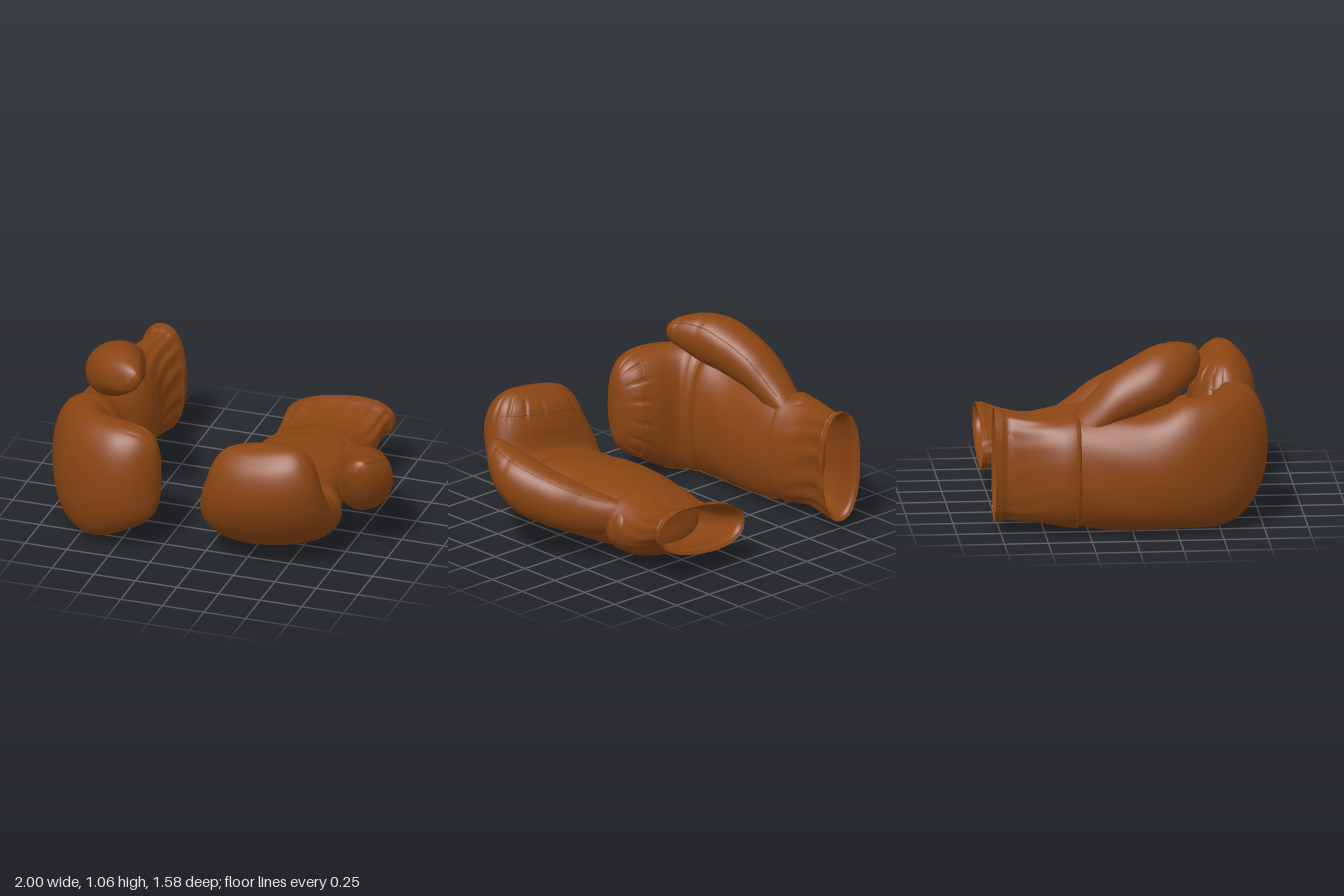
import * as THREE from 'three';

const material = new THREE.MeshStandardMaterial({ color: 0x8b4513, side: THREE.DoubleSide });
const clamp = THREE.MathUtils.clamp;

// Cross-sections: [back z, back x, palm z, palm x, centre y, half width]
const hand = [
  [-0.45, 0.21, -0.45, 0.21, 0.385, 0],
  [-0.45, 0.08, -0.45, 0.35, 0.375, 0.28],
  [-0.3, 0.045, -0.3, 0.425, 0.36, 0.318],
  [-0.1, 0.015, -0.1, 0.45, 0.35, 0.333],
  [0.1, 0, 0.1, 0.45, 0.352, 0.338],
  [0.28, 0.01, 0.27, 0.43, 0.39, 0.37],
  [0.42, 0.05, 0.36, 0.415, 0.395, 0.377],
  [0.57, 0.13, 0.4, 0.44, 0.395, 0.38],
  [0.7, 0.26, 0.415, 0.5, 0.403, 0.375],
  [0.77, 0.4, 0.42, 0.56, 0.425, 0.355],
  [0.79, 0.52, 0.435, 0.62, 0.447, 0.328],
  [0.765, 0.635, 0.46, 0.68, 0.46, 0.292],
  [0.71, 0.71, 0.51, 0.725, 0.465, 0.24],
  [0.66, 0.745, 0.55, 0.75, 0.465, 0.165],
  [0.6, 0.76, 0.6, 0.76, 0.46, 0],
];
// Simple sections at one z: [z, centre x, centre y, half x, half y]
const flat = rows => rows.map(([z, x, y, rx, ry]) => [z, x - rx, z, x + rx, y, ry]);
const thumb = flat([
  [-0.4, 0.25, 0.54, 0, 0],
  [-0.37, 0.25, 0.56, 0.08, 0.08],
  [-0.25, 0.25, 0.645, 0.115, 0.13],
  [-0.1, 0.275, 0.775, 0.147, 0.15],
  [0.1, 0.315, 0.865, 0.17, 0.165],
  [0.22, 0.355, 0.895, 0.165, 0.16],
  [0.32, 0.415, 0.922, 0.135, 0.117],
  [0.385, 0.475, 0.93, 0.08, 0.072],
  [0.41, 0.5, 0.93, 0, 0],
]);
const cuff = flat([
  [-0.787, 0.287, 0.39, 0.145, 0.33],
  [-0.745, 0.289, 0.388, 0.138, 0.322],
  [-0.7, 0.285, 0.38, 0.125, 0.31],
  [-0.6, 0.248, 0.372, 0.138, 0.304],
  [-0.5, 0.222, 0.367, 0.162, 0.304],
  [-0.4, 0.216, 0.36, 0.19, 0.315],
  [-0.32, 0.225, 0.36, 0.195, 0.325],
  [-0.3, 0.23, 0.36, 0.17, 0.3],
]);
const lining = flat([
  [-0.4, 0.22, 0.36, 0.13, 0.27],
  [-0.6, 0.25, 0.372, 0.12, 0.28],
  [-0.75, 0.287, 0.388, 0.118, 0.302],
  [-0.787, 0.287, 0.39, 0.145, 0.33],
]);

// Smooth interpolation between neighbouring sections, t in 0..1
function sectionAt(rows, t) {
  const n = rows.length - 1;
  const i = Math.min(Math.floor(t * n), n - 1), f = t * n - i;
  const [a, b, c, d] = [i - 1, i, i + 1, i + 2].map(k => rows[clamp(k, 0, n)]);
  return b.map((p, k) => p + 0.5 * f * (c[k] - a[k]
    + f * (2 * a[k] - 5 * p + 4 * c[k] - d[k] + f * (3 * (p - c[k]) + d[k] - a[k]))));
}

// Point on a lofted surface; power > 2 squares the section, skew leans it
function pointAt({ rows, power, skew = 0, bump = () => 1 }, t, angle) {
  const [z0, x0, z1, x1, cy, ry] = sectionAt(rows, t);
  const round = v => Math.sign(v) * Math.abs(v) ** (2 / power);
  const r = bump(t, angle);
  const c = round(Math.cos(angle)) * r, s = round(Math.sin(angle)) * r * ry;
  return new THREE.Vector3((x0 + x1) / 2 + c * (x0 - x1) / 2 + skew * s, cy + s, (z0 + z1) / 2 + c * (z0 - z1) / 2);
}

function loft(part, mirrored, rings = 56, sides = 120) {
  const positions = [], index = [];
  for (let i = 0; i <= rings; i++) {
    for (let j = 0; j < sides; j++) {
      const p = pointAt(part, i / rings, j / sides * Math.PI * 2);
      positions.push(...(mirrored ? [p.y, p.x, p.z] : [p.x, p.y, p.z]));
      if (i === rings) continue;
      const a = i * sides + j, b = i * sides + (j + 1) % sides, c = a + sides, d = b + sides;
      index.push(...(mirrored ? [a, b, c, b, d, c] : [a, c, b, b, c, d]));
    }
  }
  const geometry = new THREE.BufferGeometry();
  geometry.setAttribute('position', new THREE.Float32BufferAttribute(positions, 3));
  geometry.setIndex(index);
  geometry.computeVertexNormals();
  return geometry;
}

// Raised stitching line between two (t, angle) positions on a surface
function seam(part, from, to, mirrored) {
  const points = [];
  for (let i = 0; i <= 40; i++) {
    const f = i / 40;
    const p = pointAt(part, from[0] + (to[0] - from[0]) * f, from[1] + (to[1] - from[1]) * f);
    points.push(mirrored ? new THREE.Vector3(p.y, p.x, p.z) : p);
  }
  return new THREE.TubeGeometry(new THREE.CatmullRomCurve3(points), 100, 0.004, 6);
}

const bell = (t, mid, width) => Math.exp(-(((t - mid) / width) ** 2));
const parts = {
  // Puckers where the fist curls in, two soft rolls across the palm, loose folds at the wrist
  handAndFist: {
    rows: hand, power: 2.2,
    bump: (t, a) => 1 - 0.07 * bell(t, 0.79, 0.07) * clamp(0.5 - Math.cos(a), 0, 1) * Math.max(0, Math.cos(a * 15)) ** 6
      + 0.08 * clamp(-Math.cos(a), 0, 1) * (bell(t, 0.37, 0.025) + bell(t, 0.45, 0.025))
      + 0.008 * bell(t, 0.22, 0.1) * Math.sin(a * 7 + t * 25),
  },
  thumb: {
    rows: thumb, power: 2.05, skew: 0.25,
    bump: (t, a) => 1 - 0.025 * bell(Math.cos(a - 2.3), 1, 0.4) * Math.max(0, Math.cos(t * 42)) ** 5,
  },
  // Elastic gathers run lengthwise along the palm side of the cuff
  cuff: {
    rows: cuff, power: 2.3,
    bump: (t, a) => 1 + bell(t, 0.35, 0.25) * (0.01 + 0.035 * clamp(-Math.cos(a), 0, 1)) * Math.sin(a * 15 + 2 * Math.sin(t * 6)),
  },
  cuffLining: { rows: lining, power: 2.3 },
};
const TURN = Math.PI * 2;
const seams = [
  ['thumbSeam', 'thumb', [0.2, 2.3], [0.97, 2.3]],
  ['lowerSideSeam', 'handAndFist', [0.15, -1.9], [0.6, -1.9]],
  ['palmSeam', 'handAndFist', [0.41, 1.8], [0.41, TURN - 1.8]],
  ['fistEdgeSeam', 'handAndFist', [0.74, 1.8], [0.74, TURN - 1.8]],
  ['cuffHem', 'cuff', [0.13, 0], [0.13, TURN]],
  ['cuffTopSeam', 'cuff', [0.84, -1.7], [0.84, 1.9]],
];

function glove(name, mirrored) {
  const group = new THREE.Group();
  group.name = name;
  const add = (label, geometry) => {
    const mesh = new THREE.Mesh(geometry, material);
    mesh.name = label;
    group.add(mesh);
  };
  for (const [label, part] of Object.entries(parts)) add(label, loft(part, mirrored));
  for (const [label, part, from, to] of seams) add(label, seam(parts[part], from, to, mirrored));
  return group;
}

export function createModel() {
  const model = new THREE.Group();
  model.name = 'boxingGloves';

  // One glove rests on its edge with the thumb up
  const upright = glove('uprightGlove', false);
  upright.position.set(-1, 0, 0);

  // The other lies on its back, tilted a little toward its thumb
  const lying = glove('lyingGlove', true);
  const tilt = 0.15, pivot = new THREE.Vector3(0.37, 0.38, 0);
  lying.rotation.z = tilt;
  lying.position.copy(pivot).sub(pivot.clone().applyAxisAngle(new THREE.Vector3(0, 0, 1), tilt));
  lying.position.x -= 0.045;
  lying.position.y += 0.004;

  model.add(upright, lying);
  return model;
}
